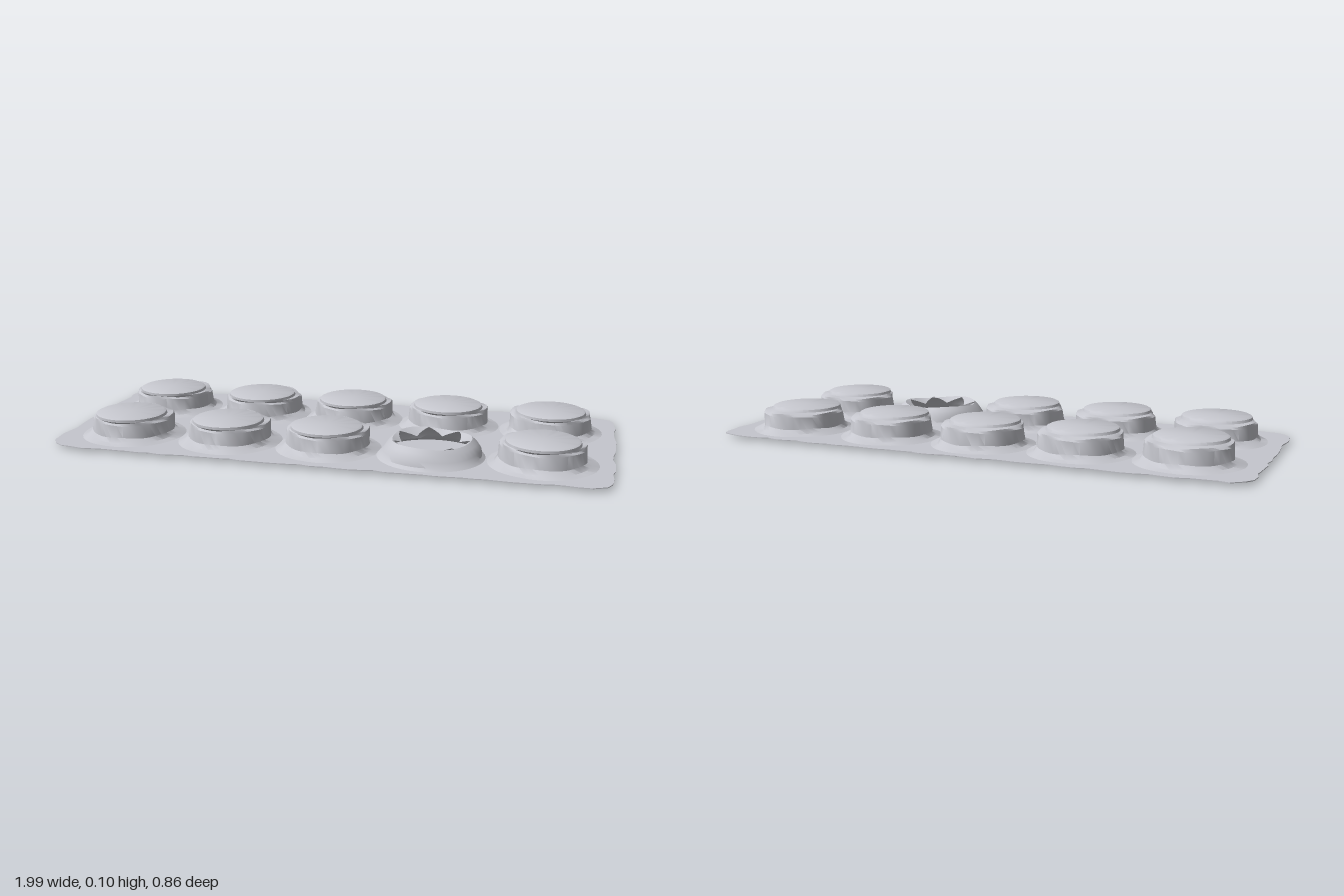
import * as THREE from 'three';
import { toCreasedNormals } from 'three/addons/utils/BufferGeometryUtils.js';

const foil = new THREE.MeshStandardMaterial({ color: 0xc6c7ce, side: THREE.DoubleSide });
foil.name = 'silver foil';

// Seeded noise in -1..1
let seed = 7;
const rand = () => {
  seed = (seed * 16807) % 2147483647;
  return (seed / 2147483647) * 2 - 1;
};

// Skin over rings listed from the outside in; ring(i, angle) gives [x, y, z]
function loft(name, count, segments, ring, crease = 0.6) {
  const pos = [], index = [];
  for (let i = 0; i < count; i++) {
    for (let j = 0; j < segments; j++) pos.push(...ring(i, (j / segments) * Math.PI * 2, j));
  }
  for (let i = 0; i < count - 1; i++) {
    for (let j = 0; j < segments; j++) {
      const k = (j + 1) % segments;
      const a = i * segments + j, b = i * segments + k;
      const c = a + segments, d = b + segments;
      index.push(a, c, b, b, c, d);
    }
  }
  const geo = new THREE.BufferGeometry();
  geo.setAttribute('position', new THREE.Float32BufferAttribute(pos, 3));
  geo.setIndex(index);
  const mesh = new THREE.Mesh(toCreasedNormals(geo, crease), foil);
  mesh.name = name;
  return mesh;
}

// Thin backing card with rounded corners and a slightly ragged edge
function backingSheet() {
  const w = 0.99, d = 0.422, r = 0.1;
  const outline = new THREE.Shape();
  outline.moveTo(-w + r, -d);
  outline.lineTo(w - r, -d);
  outline.quadraticCurveTo(w, -d, w, -d + r);
  outline.lineTo(w, d - r);
  outline.quadraticCurveTo(w, d, w - r, d);
  outline.lineTo(-w + r, d);
  outline.quadraticCurveTo(-w, d, -w, d - r);
  outline.lineTo(-w, -d + r);
  outline.quadraticCurveTo(-w, -d, -w + r, -d);
  const pts = outline.getSpacedPoints(130).slice(0, -1)
    .map((p) => new THREE.Vector2(p.x + rand() * 0.006, p.y + rand() * 0.007));
  const geo = new THREE.ExtrudeGeometry(new THREE.Shape(pts), { depth: 0.003, bevelEnabled: false });
  geo.rotateX(-Math.PI / 2);
  const mesh = new THREE.Mesh(geo, foil);
  mesh.name = 'backingSheet';
  mesh.position.y = 0.011;
  return mesh;
}

// Sealed pocket: [radius, y, z shift], with a raised cap set toward the front
const POCKET = [
  [0.192, 0.013, 0], [0.165, 0.022, 0], [0.15, 0.034, 0], [0.147, 0.078, 0], [0.142, 0.087, 0],
  [0.129, 0.091, 0.018], [0.126, 0.1, 0.021], [0.118, 0.104, 0.022], [0, 0.105, 0.022],
];
function sealedPocket() {
  const phase = rand() * 3;
  return loft('sealedPocket', POCKET.length, 40, (i, a) => {
    const [r, y, z] = POCKET[i];
    // Gentle crumpling of the skirt and wall
    const crumple = i > 0 && i < 5 ? 0.003 * Math.sin(a * 5 + phase + i * 1.7) : 0;
    const rr = r + crumple;
    return [Math.cos(a) * rr, y + (i < 5 ? crumple : 0), z - Math.sin(a) * rr];
  });
}

// Opened pocket: low collar with a star-shaped tear and flaps folded inward
const TORN = [[0.19, 0.013], [0.177, 0.024], [0.17, 0.04], [0.155, 0.062], [0.138, 0.076]];
function tornPocket() {
  const group = new THREE.Group();
  group.name = 'tornPocket';
  const points = 7, segments = points * 6;
  const at = (a, r, y) => [Math.cos(a) * r, y, 0.01 - Math.sin(a) * r];
  group.add(loft('tornCollar', TORN.length + 1, segments, (i, a, j) => {
    // 0 at the tear tips, 1 at the middle of each flap
    const flap = 1 - Math.abs((j % 6) - 3) / 3;
    if (i < TORN.length) {
      const wave = i > 1 ? 0.004 * Math.sin(a * 3 + 1) : 0;
      return at(a, TORN[i][0] + wave, TORN[i][1] + wave);
    }
    return at(a, 0.137 - 0.035 * (1 - Math.abs(1 - flap)), 0.077 - 0.022 * flap);
  }));
  // Inner side wall and floor seen through the tear
  group.add(loft('pocketFloor', 2, segments, (i, a) => at(a, i ? 0 : 0.16, 0.016)));
  return group;
}

// Shallow round seal bulging under the card
const SEAL = [[0, 0.002], [0.17, 0.002], [0.181, 0], [0.187, 0.003], [0.19, 0.011]];
const undersideSeal = () => loft('undersideSeal', SEAL.length, 48, (i, a) =>
  [Math.cos(a) * SEAL[i][0], SEAL[i][1], -Math.sin(a) * SEAL[i][0]]);

export function createModel() {
  const model = new THREE.Group();
  model.name = 'blisterPack';
  model.add(backingSheet());

  // Two rows of five pockets, one of them opened
  for (const z of [-0.195, 0.198]) {
    [-0.745, -0.368, 0, 0.37, 0.752].forEach((x, column) => {
      const cell = new THREE.Group();
      cell.name = 'pocketCell';
      cell.position.set(x, 0, z);
      cell.add(z > 0 && column === 3 ? tornPocket() : sealedPocket(), undersideSeal());
      model.add(cell);
    });
  }
  return model;
}
